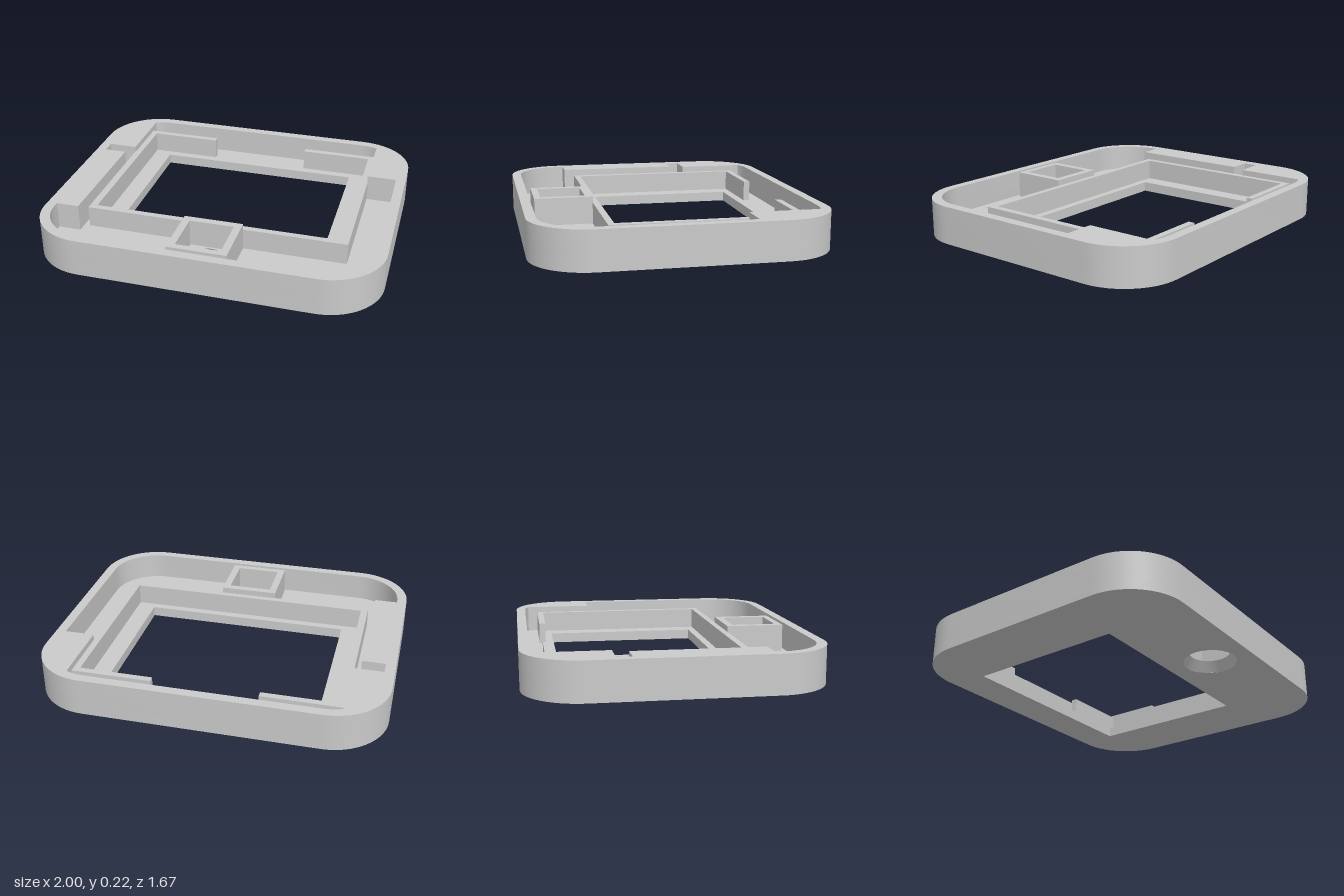
import * as THREE from 'three';
import { toCreasedNormals } from 'three/addons/utils/BufferGeometryUtils.js';

const TOP = 0.22, FLOOR = 0.06, FRAME = 0.185;

// Closed outline from [x, z, cornerRadius] points, outer outlines counter-clockwise seen from above
function outline(points, Type = THREE.Shape) {
  const path = new Type();
  const n = points.length;
  const v = points.map(([x, z]) => new THREE.Vector2(x, -z));
  points.forEach(([, , r = 0], i) => {
    const p = v[i];
    const toward = (q, d) => p.clone().add(q.clone().sub(p).setLength(d));
    const prev = v[(i + n - 1) % n], next = v[(i + 1) % n];
    const a = r ? toward(prev, r) : p;
    if (i === 0) path.moveTo(a.x, a.y);
    else path.lineTo(a.x, a.y);
    if (r) {
      const c = toward(prev, r * 0.448), d = toward(next, r * 0.448), b = toward(next, r);
      path.bezierCurveTo(c.x, c.y, d.x, d.y, b.x, b.y);
    }
  });
  path.closePath();
  return path;
}

const rect = (x0, x1, z0, z1, r = 0) => [[x0, z0, r], [x0, z1, r], [x1, z1, r], [x1, z0, r]];

export function createModel() {
  const group = new THREE.Group();
  const grey = new THREE.MeshStandardMaterial({ color: 0xcacaca });
  grey.name = 'grey';

  const add = (name, geometry) => {
    const mesh = new THREE.Mesh(toCreasedNormals(geometry, 0.5), grey);
    mesh.name = name;
    group.add(mesh);
  };
  const slab = (name, points, holes, y0, y1) => {
    const shape = outline(points);
    shape.holes = holes;
    const geometry = new THREE.ExtrudeGeometry(shape, { depth: y1 - y0, bevelEnabled: false, curveSegments: 16 });
    add(name, geometry.rotateX(-Math.PI / 2).translate(0, y0, 0));
  };
  const hole = (points) => outline(points, THREE.Path);
  const body = rect(-1, 1, -0.833, 0.833, 0.33);

  // Floor plate with the window and the button hole
  const round = new THREE.Path().absarc(0, -0.583, 0.153, 0, Math.PI * 2);
  slab('floor', body, [hole(rect(-0.62, 0.62, -0.607, 0.328)), round], 0, FLOOR);

  // Countersunk edge of the button hole
  const profile = [[0.153, FLOOR], [0.117, FLOOR], [0.153, 0]].map(([r, y]) => new THREE.Vector2(r, y));
  add('buttonCountersink', new THREE.LatheGeometry(profile, 48).translate(0, 0, 0.583));

  // Outer wall, including the solid back corners and the side bar
  slab('outerWall', body, [hole([
    [-0.768, -0.352], [-0.768, -0.755], [-0.745, -0.765], [-0.71, -0.774], [-0.665, -0.777],
    [0.665, -0.777], [0.71, -0.774], [0.745, -0.765], [0.768, -0.755], [0.768, -0.352],
    [0.942, -0.352], [0.942, 0.777, 0.275], [-0.942, 0.777, 0.275], [-0.942, 0.473],
    [-0.807, 0.473], [-0.807, -0.267], [-0.942, -0.267], [-0.942, -0.352],
  ])], FLOOR, TOP);

  // Screen frame, open in the middle of its back side
  slab('screenFrame', [
    [-0.772, -0.695], [-0.772, 0.412], [0.772, 0.412], [0.772, -0.695],
    [0.306, -0.695], [0.306, -0.657], [0.73, -0.657], [0.73, 0.374],
    [-0.73, 0.374], [-0.73, -0.657], [-0.306, -0.657], [-0.306, -0.695],
  ], [], FLOOR, FRAME);

  // Square well around the button hole
  slab('buttonWell', rect(-0.173, 0.173, 0.41, 0.75), [hole(rect(-0.13, 0.13, 0.453, 0.712))], FLOOR, TOP);

  return group;
}
